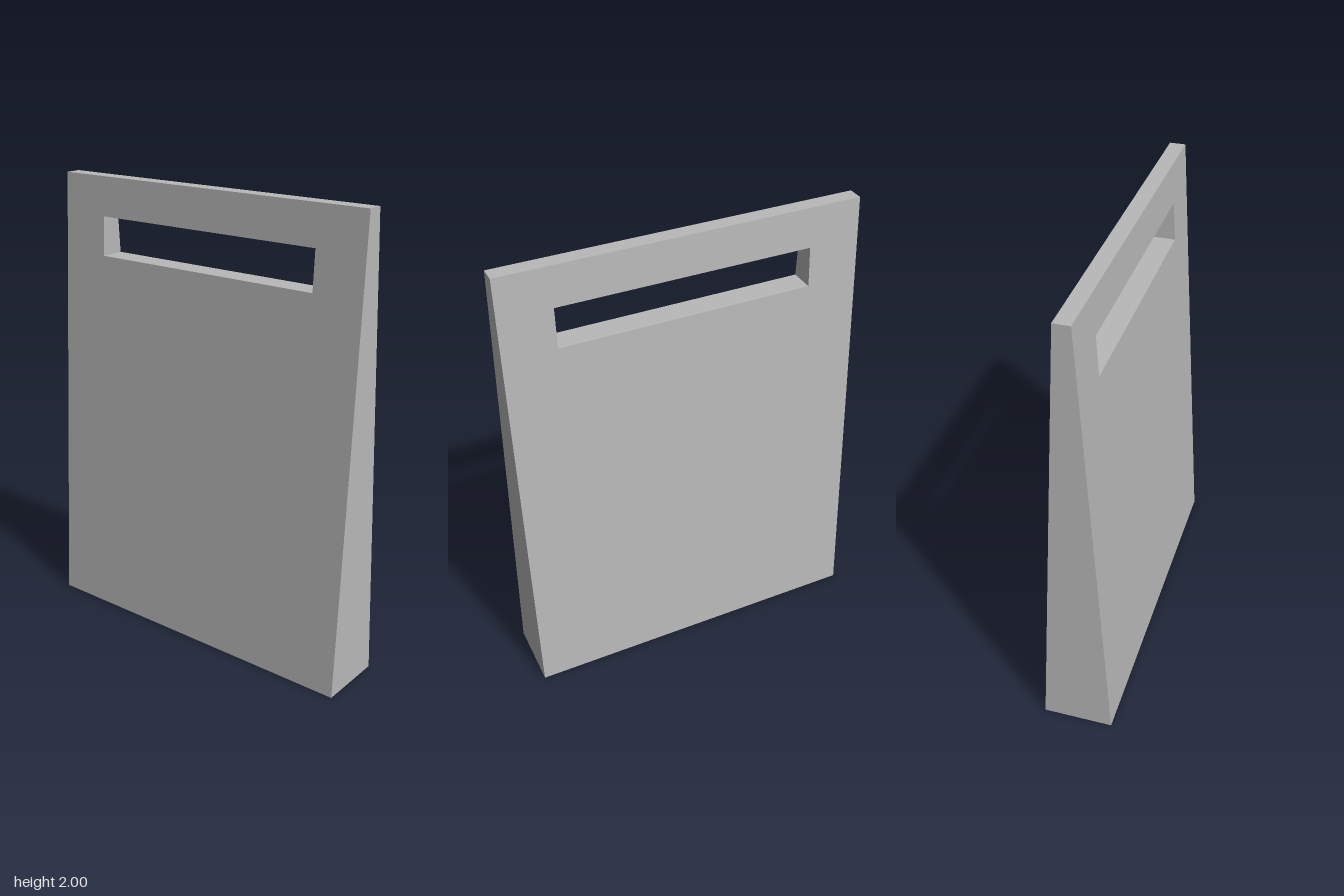
import * as THREE from 'three';

const HALF_WIDTH = 0.765, HEIGHT = 2;
const BASE_DEPTH = 0.30, TOP_DEPTH = 0.068;

// Rectangle outline from two opposite corners
function rectangle(path, x0, y0, x1, y1) {
  path.moveTo(x0, y0);
  path.lineTo(x1, y0);
  path.lineTo(x1, y1);
  path.lineTo(x0, y1);
  path.closePath();
  return path;
}

export function createModel() {
  const group = new THREE.Group();
  group.name = 'taperedBag';

  const grey = new THREE.MeshStandardMaterial({ color: 0xb8b8b8 });
  grey.name = 'light grey';

  // Upright panel with a handle slot
  const outline = rectangle(new THREE.Shape(), -HALF_WIDTH, 0, HALF_WIDTH, HEIGHT);
  outline.holes.push(rectangle(new THREE.Path(), -0.543, 1.66, 0.543, 1.83));
  const geometry = new THREE.ExtrudeGeometry(outline, { depth: 1, bevelEnabled: false });
  geometry.translate(0, 0, -0.5);

  // Taper the depth evenly from the base to the top
  const p = geometry.attributes.position;
  for (let i = 0; i < p.count; i++) {
    const depth = THREE.MathUtils.lerp(BASE_DEPTH, TOP_DEPTH, p.getY(i) / HEIGHT);
    p.setZ(i, p.getZ(i) * depth);
  }
  geometry.computeVertexNormals();

  const body = new THREE.Mesh(geometry, grey);
  body.name = 'bagBodyWithHandleSlot';
  group.add(body);
  return group;
}
